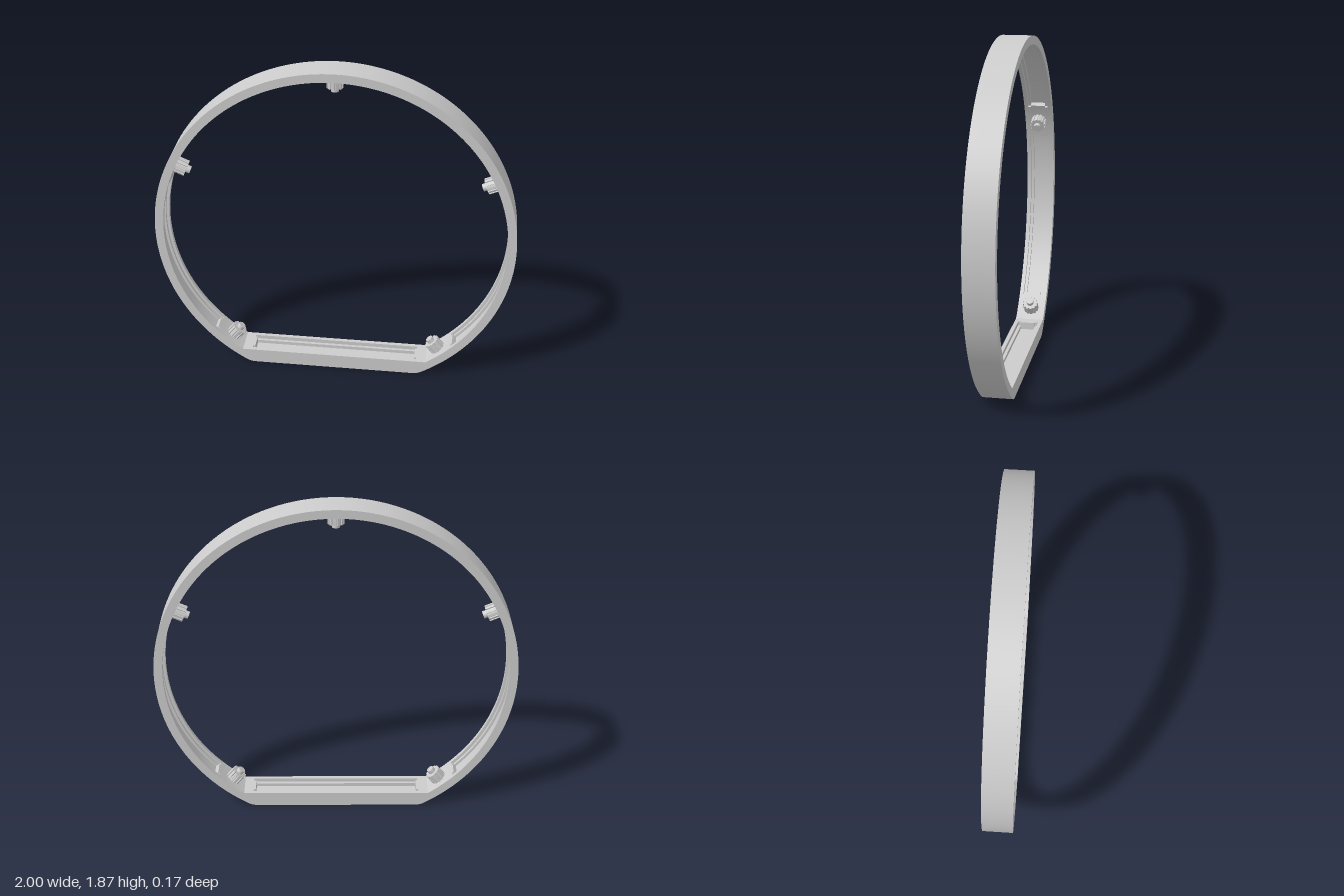
import * as THREE from 'three';
import { toCreasedNormals } from 'three/addons/utils/BufferGeometryUtils.js';

const CY = 0.873, OUTER = 1, INNER = 0.952, FLOOR = 0.085, HALF = 0.083;
const rad = THREE.MathUtils.degToRad;
const bossAngles = [-51, 23.5, 90, 156.5, 231];
const material = new THREE.MeshStandardMaterial({ color: 0xcccccc });

const polar = (r, a) => new THREE.Vector2(r * Math.cos(a), CY + r * Math.sin(a));

// Arc points from angle a to b, about one every 1.5 degrees
function arc(r, a, b) {
  const n = Math.max(1, Math.ceil((b - a) / rad(1.5)));
  return Array.from({ length: n + 1 }, (_, i) => polar(r, a + ((b - a) * i) / n));
}

// Circle with a flat foot and softened corners
function outerShape() {
  const start = rad(-59.2);
  const shape = new THREE.Shape(arc(OUTER, start, Math.PI - start));
  const p = polar(OUTER, start);
  shape.quadraticCurveTo(-0.487, 0, -0.46, 0);
  shape.lineTo(0.46, 0);
  shape.quadraticCurveTo(0.487, 0, p.x, p.y);
  return shape;
}

// Opening whose wall is cut back by the pocket depth between the bosses
function innerPath(depth, inset) {
  const start = Math.asin((FLOOR - CY) / INNER);
  const gap = rad(6) + inset;
  const points = [];
  let from = start;
  if (depth > 0) {
    for (let i = 0; i < bossAngles.length - 1; i++) {
      const a = rad(bossAngles[i]) + gap, b = rad(bossAngles[i + 1]) - gap;
      points.push(...arc(INNER, from, a), ...arc(INNER + depth, a, b));
      from = b;
    }
  }
  points.push(...arc(INNER, from, Math.PI - start));
  if (depth > 0) {
    const x = 0.48 - inset, y = FLOOR - depth * 1.4;
    for (const [px, py] of [[-x, FLOOR], [-x, y], [x, y], [x, FLOOR]]) points.push(new THREE.Vector2(px, py));
  }
  return new THREE.Path(points);
}

function layer(name, z0, z1, depth, inset) {
  const shape = outerShape();
  shape.holes.push(innerPath(depth, inset));
  const geometry = new THREE.ExtrudeGeometry(shape, { depth: z1 - z0, bevelEnabled: false, curveSegments: 6 });
  geometry.translate(0, 0, z0);
  const mesh = new THREE.Mesh(toCreasedNormals(geometry, rad(25)), material);
  mesh.name = name;
  return mesh;
}

// Ribbed stud with a small tip, pointing along +y
function boss() {
  const group = new THREE.Group();
  const ribs = 12, points = [];
  for (let i = 0; i < ribs; i++) {
    [[0.045, 0], [0.045, 0.55], [0.039, 0.6], [0.039, 0.95]].forEach(([r, t]) => {
      const a = ((i + t) / ribs) * Math.PI * 2;
      points.push(new THREE.Vector2(r * Math.cos(a), r * Math.sin(a)));
    });
  }
  const body = new THREE.ExtrudeGeometry(new THREE.Shape(points), { depth: 0.07, bevelEnabled: false });
  body.rotateX(-Math.PI / 2);
  const bodyMesh = new THREE.Mesh(body, material);
  bodyMesh.name = 'ribbedStud';
  const tip = new THREE.Mesh(new THREE.CylinderGeometry(0.021, 0.021, 0.03, 20), material);
  tip.name = 'studTip';
  tip.position.y = 0.078;
  group.add(bodyMesh, tip);
  return group;
}

export function createModel() {
  const model = new THREE.Group();
  model.name = 'flatFootedRing';

  // Band: plain rims outside, stepped pockets toward the middle
  model.add(
    layer('frontRim', 0.06, HALF, 0, 0),
    layer('frontStep', 0.043, 0.06, 0.016, 0),
    layer('bandCore', -0.043, 0.043, 0.03, 0.012),
    layer('backStep', -0.06, -0.043, 0.016, 0),
    layer('backRim', -HALF, -0.06, 0, 0)
  );

  // Studs pointing to the centre of the ring
  for (const degrees of bossAngles) {
    const a = rad(degrees);
    const stud = boss();
    const p = polar(INNER + 0.01, a);
    stud.name = 'mountingStud';
    stud.position.set(p.x, p.y, 0);
    stud.rotation.z = a + Math.PI / 2;
    model.add(stud);
  }
  return model;
}
